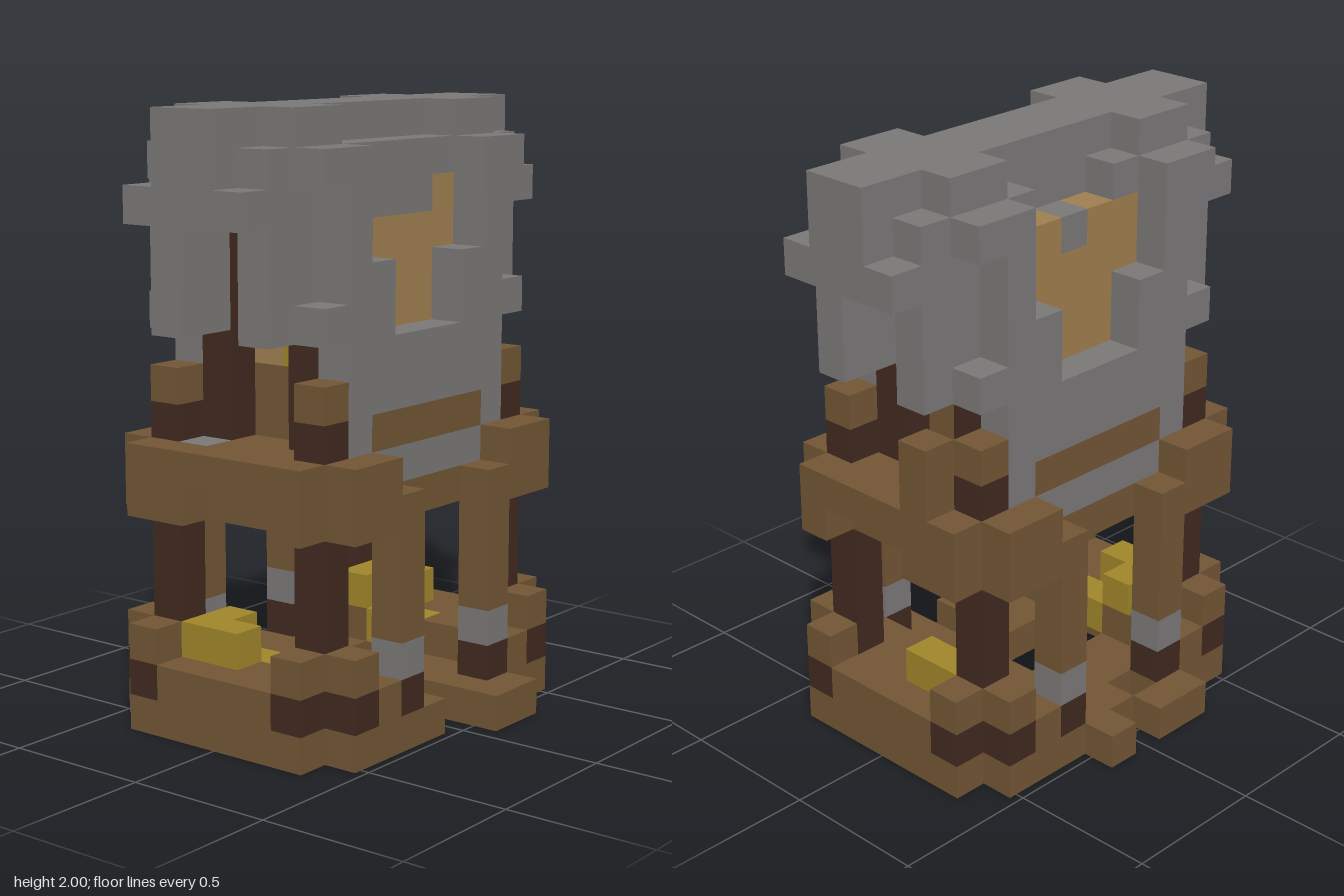
import * as THREE from 'three';

const U = 2 / 17; // one block
const mat = (name, color) => {
  const m = new THREE.MeshStandardMaterial({ color });
  m.name = name;
  return m;
};

export function createModel() {
  const root = new THREE.Group();
  root.name = 'blockTower';
  const stone = mat('stone grey', 0x7b7978);
  const wood = mat('wood brown', 0x725634);
  const dark = mat('dark wood', 0x412920);
  const gold = mat('straw yellow', 0xa0852b);
  const tan = mat('tan panel', 0xa07f50);

  // Block from x0..x1, y0..y1 and rows k0..k1 inclusive; row 0 is centred on z = 0
  const box = (name, m, x0, x1, y0, y1, k0, k1) => {
    const g = new THREE.BoxGeometry((x1 - x0) * U, (y1 - y0) * U, (k1 - k0 + 1) * U);
    const mesh = new THREE.Mesh(g, m);
    mesh.name = name;
    mesh.position.set((x0 + x1) * U / 2, (y0 + y1) * U / 2, (k0 + k1) * U / 2);
    root.add(mesh);
  };
  // Mirrored copies: left/right, front/back, or all four corners
  const sides = (n, m, x0, x1, y0, y1, k0, k1) => {
    box(n, m, x0, x1, y0, y1, k0, k1);
    box(n, m, -x1, -x0, y0, y1, k0, k1);
  };
  const ends = (n, m, x0, x1, y0, y1, k0, k1) => {
    box(n, m, x0, x1, y0, y1, k0, k1);
    box(n, m, x0, x1, y0, y1, -k1, -k0);
  };
  const corners = (n, m, x0, x1, y0, y1, k0, k1) => {
    sides(n, m, x0, x1, y0, y1, k0, k1);
    sides(n, m, x0, x1, y0, y1, -k1, -k0);
  };

  // Floor with open middle and ragged edges
  ends('floorEnd', wood, -3, 3, 0, 1, 5, 5);
  ends('floorSlab', wood, -4, 4, 0, 1, 4, 4);
  corners('floorSide', wood, 1, 4, 0, 1, 2, 3);
  box('floorBack', wood, -4, 4, 0, 1, -1, -1);
  box('floorMiddle', wood, -4, -1, 0, 1, 0, 0);
  box('floorFrontLeft', wood, 1, 4, 0, 1, 1, 1);
  box('floorFrontRight', wood, -3, -1, 0, 1, 1, 1);
  box('stepLeft', wood, 4, 5, 0, 1, -2, -1);
  box('stepRightBack', wood, -5, -4, 0, 1, -1, -1);
  box('stepRightFront', wood, -5, -4, 0, 1, 1, 2);

  // Low walls and corner stubs
  ends('lowWall', wood, -2, 2, 1, 2, 5, 5);
  ends('lowWallInner', wood, -3, 3, 1, 2, 4, 4);
  corners('lowWallSide', wood, 1, 4, 1, 2, 3, 3);
  corners('cornerBand', dark, 2, 3, 1, 2, 5, 5);
  corners('cornerBandSide', dark, 3, 4, 1, 2, 4, 4);
  corners('cornerCap', wood, 2, 3, 2, 3, 5, 5);
  corners('cornerCapSide', wood, 3, 4, 2, 3, 4, 4);
  ends('straw', gold, -2, 0, 2, 3, 4, 4);
  ends('strawInner', gold, -2, -1, 2, 3, 3, 3);
  ends('strawLow', gold, -1, 1, 1, 2, 3, 3);

  // Posts
  corners('innerPost', dark, 2, 3, 2, 6, 4, 4);
  corners('sidePostFoot', dark, 3, 4, 1, 2, 2, 2);
  corners('sidePostStone', stone, 3, 4, 2, 3, 2, 2);
  corners('sidePost', wood, 3, 4, 3, 7, 2, 2);

  // Ring beam and upper floor
  ends('endBeamTop', wood, -3, 3, 7, 8, 5, 5);
  corners('endBeamHaunch', wood, 2, 3, 6, 7, 5, 5);
  ends('endBeamHaunchInner', wood, -2, -1, 6, 7, 5, 5);
  ends('crossBeam', wood, -4, 4, 6, 7, 4, 4);
  ends('crossBeamTopRight', wood, -4, -2, 7, 8, 4, 4);
  ends('crossBeamStone', stone, -2, -1, 7, 8, 4, 4);
  ends('crossBeamTopLeft', wood, -1, 4, 7, 8, 4, 4);
  corners('sideBeamEnd', wood, 3, 4, 6, 8, 3, 3);
  sides('sideBeam', wood, 2, 3, 6, 7, -3, 3);
  sides('floorEdge', stone, 1, 3, 7, 8, -3, 3);
  box('upperFloor', wood, -1, 1, 7, 8, -3, 3);

  // Upper posts and interior
  corners('upperPost', dark, 2, 3, 8, 9, 4, 4);
  corners('upperPostCap', wood, 2, 3, 9, 10, 4, 4);
  corners('gatePost', dark, 1, 2, 8, 15, 3, 3);
  box('backBlock', wood, -2, -1, 8, 10, -5, -5);
  box('backBlockLow', wood, -1, 0, 8, 9, -4, -4);
  box('innerChest', wood, -1, 1, 8, 10, -2, 2);
  box('innerPanel', tan, -1, 0, 10, 11, -2, 2);
  box('innerStraw', gold, 0, 1, 10, 11, -2, 2);

  // Lower stone walls with a wooden sill
  sides('sill', wood, 2, 3, 8, 9, -2, 2);
  corners('wallFoot', stone, 2, 3, 8, 9, 3, 3);
  sides('lowerWall', stone, 2, 3, 9, 11, -3, 3);
  sides('innerWall', stone, 1, 2, 8, 11, -2, 2);

  // Upper walls: tan panels set back in a stepped stone frame
  sides('panel', tan, 1, 2, 11, 14, -1, 1);
  corners('wallBesidePanel', stone, 1, 2, 11, 13, 2, 2);
  corners('panelCorner', tan, 1, 2, 13, 15, 2, 2);
  corners('frameStep', stone, 2, 3, 11, 13, 2, 2);
  corners('framePillar', stone, 2, 3, 11, 15, 3, 3);
  corners('frameFoot', stone, 2, 3, 11, 12, 4, 4);
  corners('frameHead', stone, 2, 3, 15, 16, 3, 4);
  corners('wallHead', stone, 1, 2, 15, 17, 3, 4);
  corners('wallEnd', stone, 1, 2, 11, 15, 4, 4);
  corners('gatePillar', stone, 1, 2, 11, 16, 5, 5);

  // Roof: ridge, stepped gable ends and shoulders
  box('ridge', stone, -1, 1, 14, 17, -6, 6);
  corners('gableWing', stone, 1, 2, 14, 15, 6, 6);
  corners('roofShoulder', stone, 1, 2, 15, 16, 2, 2);
  box('leftRoof', stone, 1, 2, 14, 16, -1, 1);
  box('rightRoof', stone, -2, -1, 14, 15, 0, 0);
  ends('rightRoofPanel', tan, -2, -1, 14, 15, 1, 1);

  return root;
}
